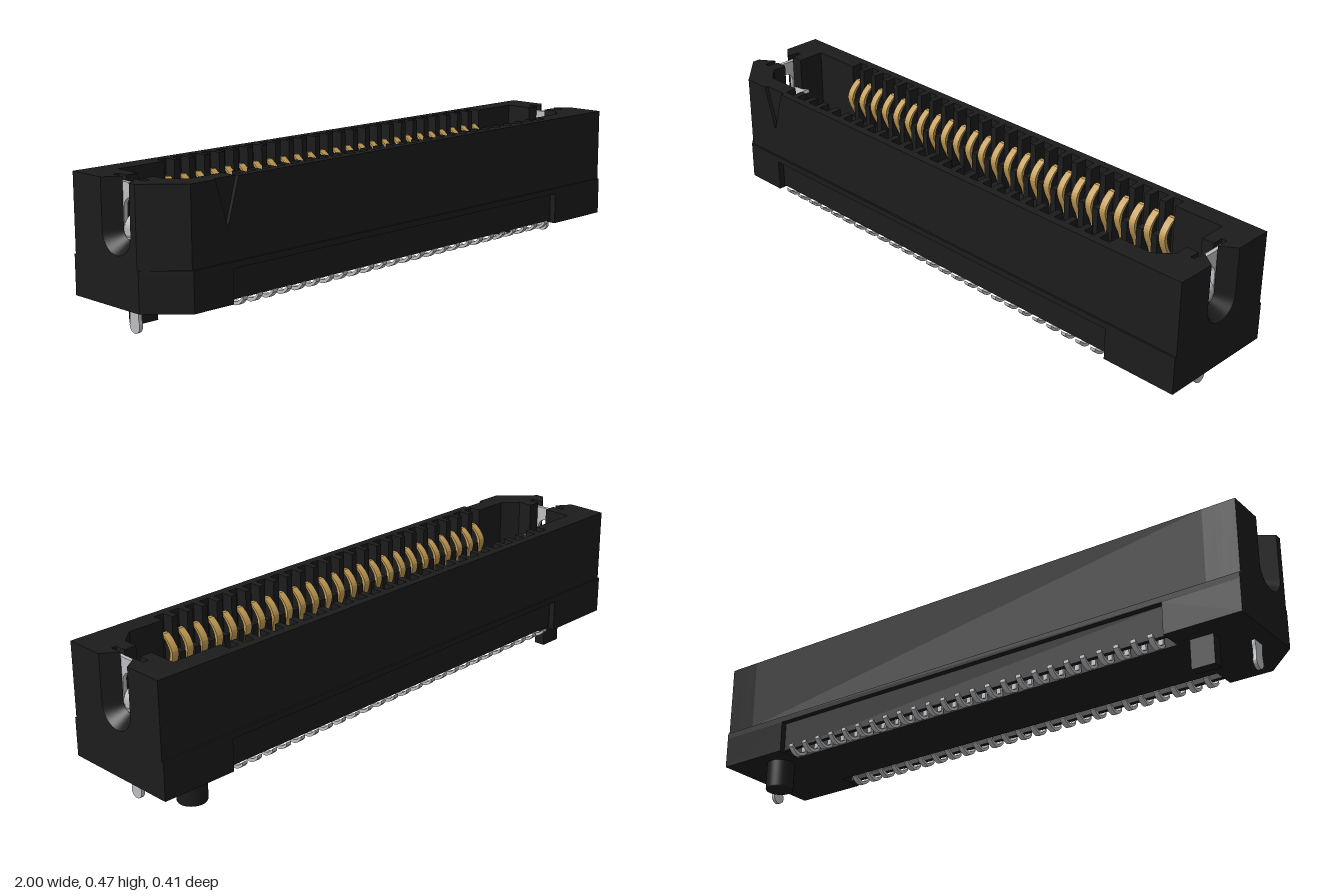
import * as THREE from 'three';

export function createModel() {
  const root = new THREE.Group();
  const mat = (name, color) => {
    const m = new THREE.MeshStandardMaterial({ color });
    m.name = name;
    return m;
  };
  const black = mat('black plastic', 0x1c1c1c);
  const gold = mat('gold contact', 0xc29c54);
  const steel = mat('bare metal', 0xbcbec2);

  const add = (name, geo, material, parent = root) => {
    const m = new THREE.Mesh(geo, material);
    m.name = name;
    parent.add(m);
    return m;
  };
  const shapeOf = pts => new THREE.Shape(pts.map(p => new THREE.Vector2(...p)));
  const extrude = (shape, depth) =>
    new THREE.ExtrudeGeometry(shape, { depth, bevelEnabled: false, curveSegments: 16 });
  // outline in x,z raised from y0 to y1
  const slab = (shape, y0, y1) => extrude(shape, y1 - y0).rotateX(Math.PI / 2).translate(0, y1, 0);
  // outline in z,y stretched from x0 to x1
  const across = (shape, x0, x1) => extrude(shape, x1 - x0).rotateY(-Math.PI / 2).translate(x1, 0, 0);
  const box = (name, x0, x1, y0, y1, z0, z1, parent = root) =>
    add(name, new THREE.BoxGeometry(x1 - x0, y1 - y0, z1 - z0)
      .translate((x0 + x1) / 2, (y0 + y1) / 2, (z0 + z1) / 2), black, parent);

  const TOP = 0.465, STEP = 0.22, Z = 0.197, ZB = 0.203, MID = 0.745, RECESS = 0.2;

  // base: full upper band with the card well
  const plan = shapeOf([[-1, -ZB], [1, -ZB], [1, ZB], [-0.89, ZB], [-1, 0.095]]);
  plan.holes.push(new THREE.Path([
    [-0.73, -0.08], [0.73, -0.08], [0.73, 0.08], [-0.73, 0.08],
  ].map(p => new THREE.Vector2(...p))));
  add('basePlate', slab(plan, RECESS, STEP), black);

  // base: end feet, centre floor and set-back skirts in front of the solder troughs
  add('baseEndRight', slab(shapeOf([[-1, -ZB], [-MID, -ZB], [-MID, ZB], [-0.89, ZB], [-1, 0.095]]), 0.095, RECESS), black);
  box('baseEndLeft', MID, 1, 0.095, RECESS, -ZB, ZB);
  box('baseFloor', -MID, MID, 0.095, 0.17, -0.12, 0.12);
  for (const s of [-1, 1]) {
    box('skirt', -MID, MID, 0.102, RECESS, s * 0.174 - 0.008, s * 0.174 + 0.008);
    box('wellSide', -MID, MID, 0.17, RECESS, s * 0.1 - 0.02, s * 0.1 + 0.02);
  }

  // long walls; the front one carries a shallow V-shaped key mark
  box('backWall', -0.89, 0.89, STEP, TOP, -Z, -0.17);
  box('frontWall', -0.89, 0.89, STEP, TOP, 0.17, 0.185);
  add('frontWallSkin', extrude(shapeOf([
    [-0.89, STEP], [0.89, STEP], [0.89, TOP], [-0.715, TOP], [-0.757, 0.32], [-0.8, TOP], [-0.89, TOP],
  ]), 0.012).translate(0, 0, 0.185), black);

  // inner lining: solid near the ends, ribs between contacts
  const COUNT = 25, PITCH = 1.4 / (COUNT - 1);
  for (const s of [-1, 1]) {
    const side = new THREE.Group();
    side.name = s > 0 ? 'frontLining' : 'backLining';
    root.add(side);
    const span = (name, x0, x1, y1, near, far) =>
      box(name, x0, x1, STEP, y1, Math.min(s * near, s * far), Math.max(s * near, s * far), side);
    span('liningEnd', -0.89, -0.718, TOP, 0.13, 0.17);
    span('liningEnd', 0.718, 0.89, TOP, 0.13, 0.17);
    span('ledge', -0.73, 0.73, 0.27, 0.08, 0.17);
    for (let i = 0; i < COUNT - 1; i++) {
      const x = -0.7 + (i + 0.5) * PITCH;
      span('rib', x - 0.011, x + 0.011, TOP, 0.13, 0.17);
      span('lowRib', x - 0.011, x + 0.011, 0.36, 0.1, 0.13);
    }
    // chamfered front corners of the end pockets
    add('pocketCorner', slab(shapeOf([[s * 0.89, 0.13], [s * 0.84, 0.13], [s * 0.89, 0.085]]), STEP, TOP), black);
  }

  // end walls: open-topped slots, the outer layer flaring like a funnel
  const C = 0.313;
  const notched = (half, round) => {
    const s = new THREE.Shape();
    s.moveTo(-Z, STEP);
    s.lineTo(Z, STEP);
    s.lineTo(Z, TOP);
    s.lineTo(half, TOP);
    if (round) {
      s.lineTo(half, C);
      s.absarc(0, C, half, 0, -Math.PI, true);
    } else {
      s.lineTo(half, 0.283);
      s.lineTo(-half, 0.283);
    }
    s.lineTo(-half, TOP);
    s.lineTo(-Z, TOP);
    s.closePath();
    return s;
  };
  const endLayer = (name, side, near, far, half, flare) => {
    const geo = across(notched(half, flare), side > 0 ? near : -far, side > 0 ? far : -near);
    const p = geo.attributes.position;
    for (let i = 0; i < p.count; i++) {
      const x = p.getX(i), y = p.getY(i), z = p.getZ(i);
      if (flare && Math.abs(x) < near + 0.001 && Math.abs(z) < half + 0.001 && y > STEP + 0.001) {
        p.setZ(i, z * 0.46);
        if (y < C) p.setY(i, C + (y - C) * 0.46);
      }
      // cut off the front corner at the -x end
      p.setZ(i, Math.min(p.getZ(i), 0.09 + (x + 1) * 0.973));
    }
    geo.computeVertexNormals();
    add(name, geo, black);
  };
  for (const side of [-1, 1]) {
    endLayer('endWallInner', side, 0.89, 0.932, 0.035, false);
    endLayer('endWallSlit', side, 0.932, 0.95, 0.072, false);
    endLayer('endWallOuter', side, 0.95, 1, 0.065, true);
  }

  // thin strip following points, thickened by an offset
  const ribbon = (pts, dx, dy) => {
    const c = new THREE.CatmullRomCurve3(pts.map(p => new THREE.Vector3(p[0], p[1], 0))).getPoints(16);
    return shapeOf([...c.map(p => [p.x, p.y]), ...c.reverse().map(p => [p.x + dx, p.y + dy])]);
  };
  const contactGeo = across(ribbon(
    [[0.14, 0.415], [0.115, 0.395], [0.098, 0.365], [0.105, 0.33], [0.128, 0.28], [0.135, 0.23]], 0.012, 0), -0.012, 0.012);
  const footGeo = across(ribbon(
    [[0.128, 0.096], [0.14, 0.086], [0.163, 0.078], [0.184, 0.085], [0.2, 0.1]], 0, 0.011), -0.009, 0.009);
  const legGeo = new THREE.BoxGeometry(0.016, 0.09, 0.01).translate(0, 0.145, 0.134);
  for (const s of [-1, 1]) {
    const row = new THREE.Group();
    row.name = s > 0 ? 'frontContacts' : 'backContacts';
    row.rotation.y = s > 0 ? 0 : Math.PI;
    root.add(row);
    for (let i = 0; i < COUNT; i++) {
      const x = -0.7 + i * PITCH;
      add('contact', contactGeo, gold, row).position.x = x;
      add('solderFoot', footGeo, steel, row).position.x = x;
      add('solderLeg', legGeo, steel, row).position.x = x;
    }
  }

  // latch clips: plate with window, spring tongue and solder tail
  const plate = shapeOf([[-0.07, 0.284], [0.07, 0.284], [0.07, 0.45], [-0.07, 0.45]]);
  const win = new THREE.Path();
  win.moveTo(-0.03, 0.29);
  win.lineTo(0.03, 0.29);
  win.lineTo(0.03, 0.376);
  win.absarc(0, 0.376, 0.03, 0, Math.PI, false);
  win.closePath();
  plate.holes.push(win);
  const tail = new THREE.Shape();
  tail.moveTo(-0.023, 0.1);
  tail.lineTo(-0.023, 0.085);
  tail.quadraticCurveTo(-0.016, 0.06, -0.023, 0.04);
  tail.absarc(0, 0.032, 0.023, Math.PI, Math.PI * 2, false);
  tail.quadraticCurveTo(0.016, 0.06, 0.023, 0.085);
  tail.lineTo(0.023, 0.1);
  const tongue = ribbon([[0.942, 0.285], [0.942, 0.315], [0.918, 0.342], [0.875, 0.348], [0.842, 0.358]], 0.004, 0.011);
  for (const side of [-1, 1]) {
    const clip = new THREE.Group();
    clip.name = side > 0 ? 'latchLeft' : 'latchRight';
    clip.rotation.y = side > 0 ? 0 : Math.PI;
    root.add(clip);
    add('latchPlate', across(plate, 0.934, 0.947), steel, clip);
    add('latchTongue', extrude(tongue, 0.06).translate(0, 0, -0.03), steel, clip);
    add('latchTail', across(tail, 0.934, 0.946), steel, clip);
  }

  // locating pegs: one round, one flat
  const peg = new THREE.LatheGeometry([[0, 0], [0.045, 0], [0.047, 0.004], [0.047, 0.1]]
    .map(p => new THREE.Vector2(...p)), 32);
  add('roundPeg', peg, black).position.set(0.828, 0, -0.109);
  box('flatPeg', -0.868, -0.79, 0, 0.1, -0.128, -0.09);
  return root;
}
